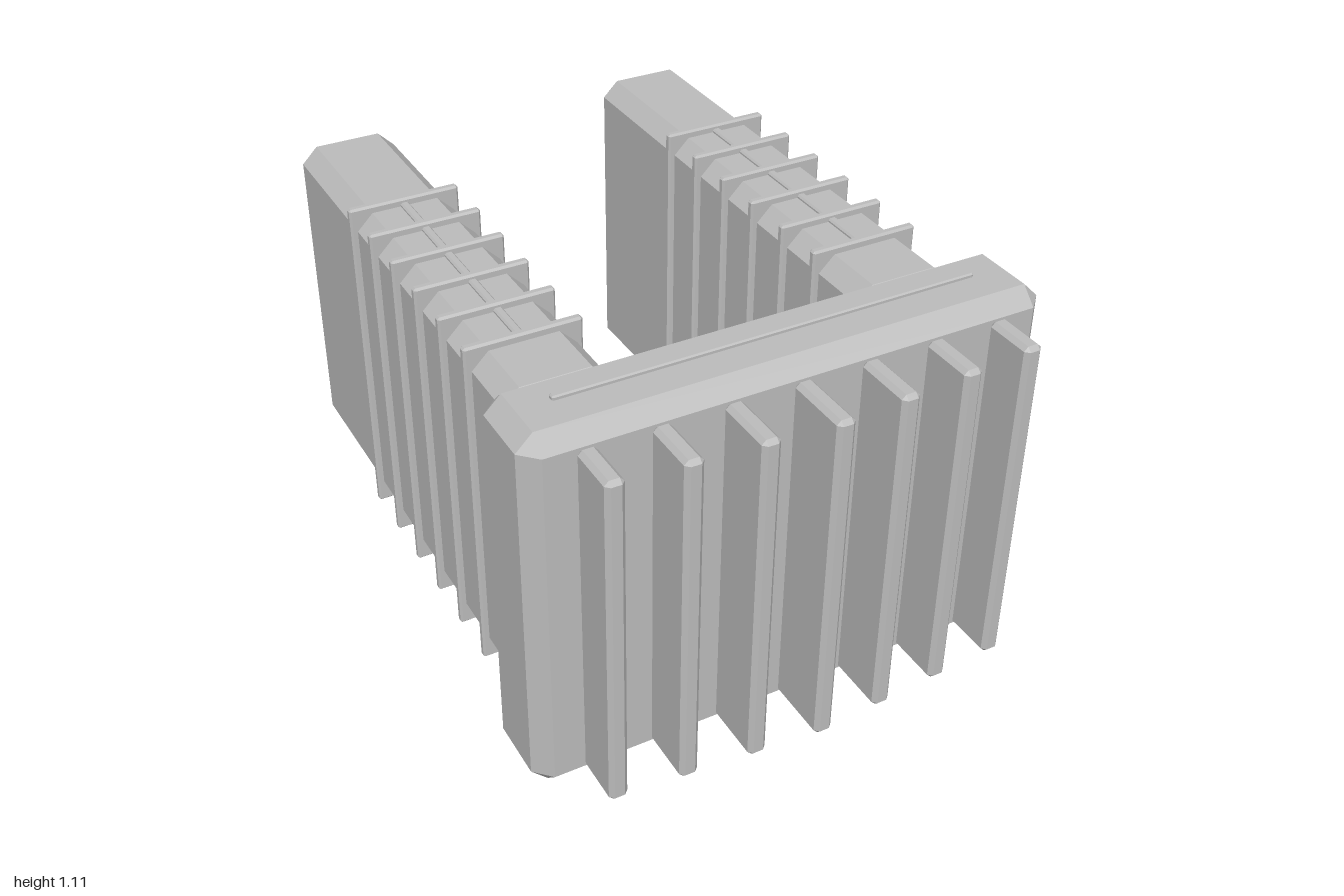
import * as THREE from 'three';
import { ConvexGeometry } from 'three/addons/geometries/ConvexGeometry.js';

const grey = new THREE.MeshStandardMaterial({ color: 0xbcbcbc });
grey.name = 'grey';

// Box between two corners with every edge cut at 45 degrees by c
function chamferBox(name, min, max, c) {
  const centre = min.map((v, i) => (v + max[i]) / 2);
  const half = min.map((v, i) => (max[i] - v) / 2);
  const points = [];
  for (const sx of [-1, 1]) for (const sy of [-1, 1]) for (const sz of [-1, 1]) {
    for (let axis = 0; axis < 3; axis++) {
      const p = [sx, sy, sz].map((s, i) => s * (half[i] - (i === axis ? 0 : c)));
      points.push(new THREE.Vector3(...p));
    }
  }
  const mesh = new THREE.Mesh(new ConvexGeometry(points), grey);
  mesh.position.set(...centre);
  mesh.name = name;
  return mesh;
}

export function createModel() {
  const model = new THREE.Group();
  model.name = 'ribbedBracket';

  // Front block with a thin raised strip on top
  model.add(chamferBox('frontBlock', [-0.732, 0, 0.54], [0.732, 1.096, 0.805], 0.046));
  model.add(chamferBox('topStrip', [-0.595, 1.085, 0.65], [0.595, 1.107, 0.67], 0.004));

  // Vertical front fins, deepest in the middle
  for (let i = -3; i <= 3; i++) {
    const x = i * 0.192;
    const front = 1 - Math.abs(i) * 0.0155;
    model.add(chamferBox('frontFin', [x - 0.026, 0.05, 0.8], [x + 0.026, 1.048, front], 0.012));
  }

  // Two rear arms, each with bands and a spine on top
  for (const side of [-1, 1]) {
    const arm = new THREE.Group();
    arm.name = side > 0 ? 'leftArm' : 'rightArm';
    arm.position.x = side * 0.505;
    arm.add(chamferBox('armBody', [-0.144, 0.066, -1], [0.144, 1.034, 0.545], 0.047));
    for (let i = 0; i < 6; i++) {
      const z = 0.305 - i * 0.16;
      arm.add(chamferBox('armBand', [-0.163, 0.045, z - 0.0125], [0.163, 1.056, z + 0.0125], 0.006));
    }
    arm.add(chamferBox('armSpine', [-0.0125, 1.02, -0.515], [0.0125, 1.044, 0.305], 0.005));
    model.add(arm);
  }
  return model;
}
